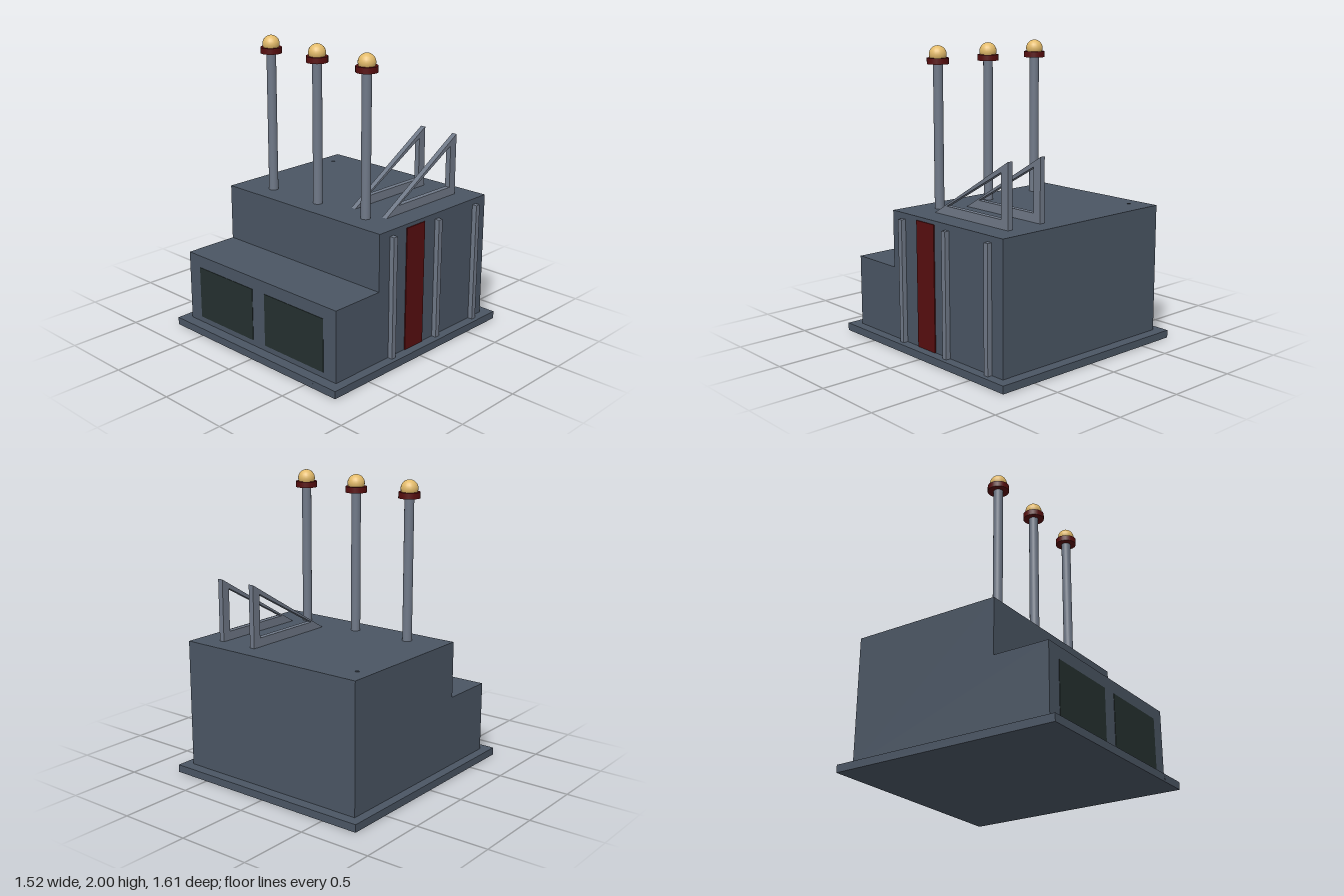
import * as THREE from 'three';

const mat = (name, color, side = THREE.FrontSide) => {
  const m = new THREE.MeshStandardMaterial({ color, side });
  m.name = name;
  return m;
};

export function createModel() {
  const wall = mat('slateWall', 0x4a5563);
  const steel = mat('greySteel', 0x6f7887);
  const red = mat('darkRed', 0x570e0f);
  const glass = mat('darkGlass', 0x25302f);
  const amber = mat('amberLamp', 0xe2ba6a);

  const model = new THREE.Group();
  const add = (name, geometry, material, x = 0, y = 0, z = 0, parent = model) => {
    const mesh = new THREE.Mesh(geometry, material);
    mesh.name = name;
    mesh.position.set(x, y, z);
    parent.add(mesh);
    return mesh;
  };
  // Box given by its minimum and maximum corners
  const box = (name, material, [x0, y0, z0], [x1, y1, z1]) =>
    add(name, new THREE.BoxGeometry(x1 - x0, y1 - y0, z1 - z0), material,
      (x0 + x1) / 2, (y0 + y1) / 2, (z0 + z1) / 2);
  // Side profile in (z, y), extruded along x from x0
  const sideExtrude = (name, material, outline, hole, x0, width) => {
    const points = (list) => list.map(([z, y]) => new THREE.Vector2(-z, y));
    const shape = new THREE.Shape(points(outline));
    if (hole) shape.holes.push(new THREE.Path(points(hole)));
    const geometry = new THREE.ExtrudeGeometry(shape, { depth: width, bevelEnabled: false });
    geometry.rotateY(Math.PI / 2);
    return add(name, geometry, material, x0, 0, 0);
  };

  // Base slab and stepped building
  box('baseSlab', wall, [-0.762, 0, -0.805], [0.762, 0.052, 0.805]);
  sideExtrude('building', wall, [
    [0.73, 0.05], [0.73, 0.54], [0.342, 0.54], [0.342, 0.927], [-0.73, 0.927], [-0.73, 0.05],
  ], null, -0.698, 1.394);

  // Front windows
  box('windowRight', glass, [-0.59, 0.09, 0.727], [-0.06, 0.455, 0.733]);
  box('windowLeft', glass, [0.055, 0.09, 0.727], [0.588, 0.455, 0.733]);

  // Red door and upright ribs on the left wall
  box('sideDoor', red, [0.695, 0.052, -0.088], [0.703, 0.902, 0.088]);
  for (const z of [0.228, -0.215, -0.613]) {
    box('wallRib', steel, [0.69, 0.052, z - 0.018], [0.73, 0.887, z + 0.018]);
  }

  // Chimneys with a red collar and a round lamp
  for (const x of [-0.432, 0, 0.432]) {
    const chimney = new THREE.Group();
    chimney.name = 'chimney';
    chimney.position.set(x, 0, 0.183);
    model.add(chimney);
    add('chimneyPipe', new THREE.CylinderGeometry(0.032, 0.032, 0.97, 24), steel, 0, 1.4, 0, chimney);
    add('chimneyCollar', new THREE.CylinderGeometry(0.072, 0.072, 0.04, 24), red, 0, 1.9, 0, chimney);
    add('chimneyLamp', new THREE.SphereGeometry(0.058, 20, 14), amber, 0, 1.942, 0, chimney);
  }

  // Triangular roof frames
  for (const x of [0.228, 0.5]) {
    sideExtrude('roofFrame', steel,
      [[0.1, 0.927], [-0.6, 0.927], [-0.6, 1.35]],
      [[-0.02, 0.987], [-0.54, 1.28], [-0.54, 0.987]], x, 0.037);
  }

  // Small studs on the roof and on the base edge
  const stud = () => new THREE.CylinderGeometry(0.013, 0.013, 0.006, 12);
  add('roofStud', stud(), wall, -0.595, 0.927, -0.575);
  add('baseStud', stud(), wall, 0.56, 0.026, 0.804).rotation.x = Math.PI / 2;

  return model;
}
